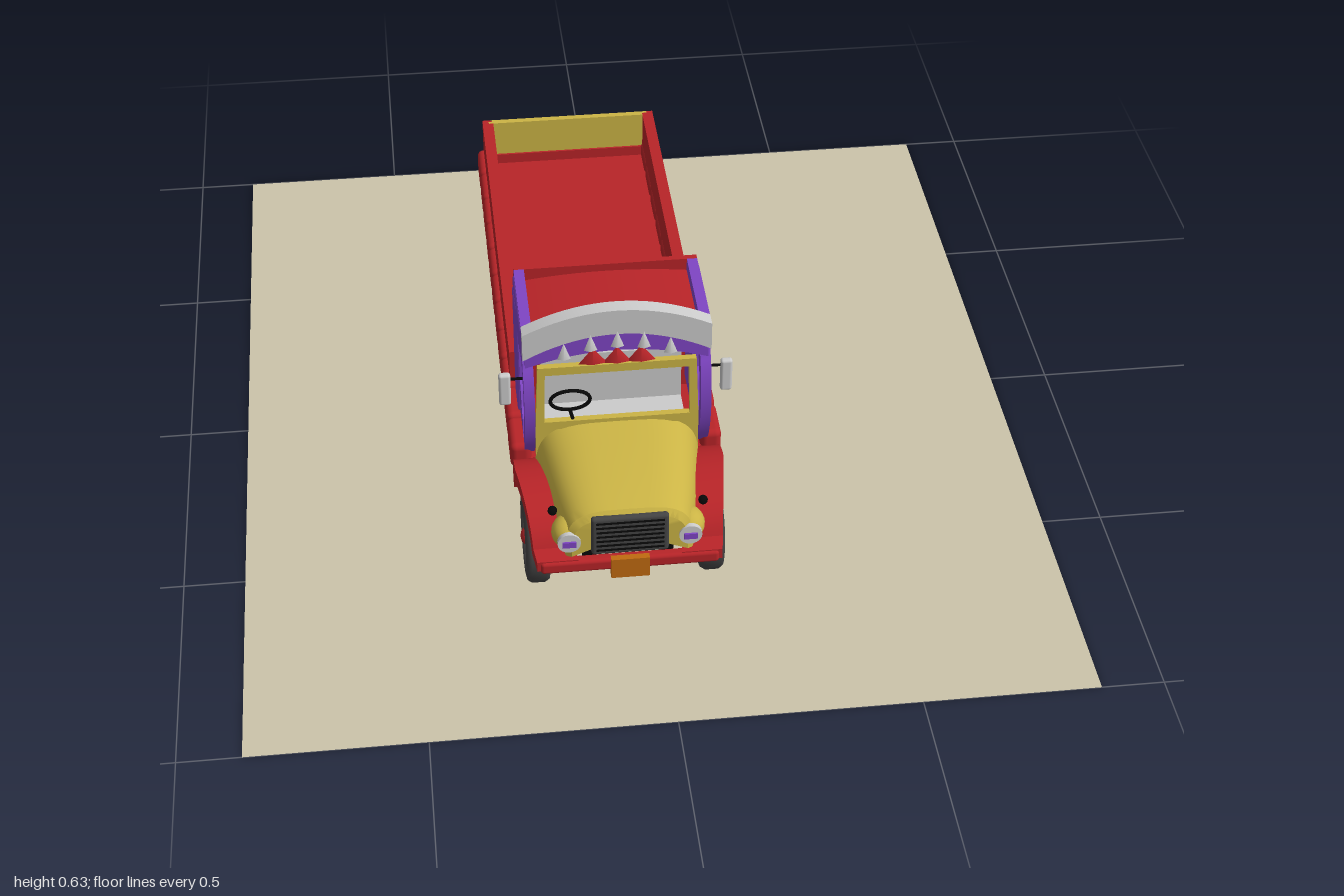
import * as THREE from 'three';
import { RoundedBoxGeometry } from 'three/addons/geometries/RoundedBoxGeometry.js';
import { toCreasedNormals } from 'three/addons/utils/BufferGeometryUtils.js';

const mat = (color) => new THREE.MeshStandardMaterial({ color, side: THREE.DoubleSide });
const red = mat(0xb82428), yellow = mat(0xcbb445), purple = mat(0x7f45c4), grey = mat(0xcccccc);
const tyreMat = mat(0x444444), black = mat(0x080808), orange = mat(0xc06a10), sand = mat(0xcbc4aa);

export function createModel() {
  const model = new THREE.Group();
  const truck = new THREE.Group();
  truck.name = 'truck';
  truck.position.x = -0.065;

  const add = (name, geo, material, x = 0, y = 0, z = 0, parent = truck) => {
    const m = new THREE.Mesh(geo, material);
    m.name = name;
    m.position.set(x, y, z);
    parent.add(m);
    return m;
  };
  // box given by its extents along each axis
  const box = (name, material, x0, x1, y0, y1, z0, z1) =>
    add(name, new THREE.BoxGeometry(x1 - x0, y1 - y0, z1 - z0), material, (x0 + x1) / 2, (y0 + y1) / 2, (z0 + z1) / 2);
  // outline drawn in (z, y), extruded along x about its middle
  const sideExtrude = (shape, width) => {
    const g = new THREE.ExtrudeGeometry(shape, { depth: width, bevelEnabled: false, curveSegments: 14 });
    return toCreasedNormals(g.translate(0, 0, -width / 2).rotateY(-Math.PI / 2), 0.6);
  };

  // ground plate
  const plate = add('groundPlate', new THREE.PlaneGeometry(1.74, 2), sand, 0, 0, 0, model);
  plate.rotation.x = -Math.PI / 2;

  // wheels
  const tyreGeo = new THREE.LatheGeometry(
    [[0.058, -0.02], [0.08, -0.026], [0.094, -0.023], [0.1, -0.014], [0.1, 0.014], [0.094, 0.023], [0.08, 0.026], [0.058, 0.02], [0.058, -0.02]]
      .map(([r, y]) => new THREE.Vector2(r, y)), 32).rotateZ(Math.PI / 2);
  const rimShape = new THREE.Shape().absarc(0, 0, 0.06, 0, Math.PI * 2);
  for (let i = 0; i < 6; i++) {
    const a = (i * Math.PI) / 3;
    rimShape.holes.push(new THREE.Path().absarc(0.04 * Math.cos(a), 0.04 * Math.sin(a), 0.009, 0, Math.PI * 2, true));
  }
  const rimGeo = sideExtrude(rimShape, 0.012);
  const wheel = (name, x, y, z, s, rear) => {
    const w = new THREE.Group();
    w.name = name;
    w.position.set(x, y, z);
    add('tyre', tyreGeo, tyreMat, 0, 0, 0, w);
    add('rim', rimGeo, red, s * 0.012, 0, 0, w);
    const hub = add('hub', new THREE.SphereGeometry(rear ? 0.055 : 0.022, 20, 12), red, s * 0.012, 0, 0, w);
    hub.scale.x = rear ? 0.35 : 0.9;
    truck.add(w);
  };
  for (const s of [-1, 1]) {
    wheel('frontWheel', s * 0.184, 0.115, 0.545, s, false);
    wheel('rearOuterWheel', s * 0.184, 0.105, -0.34, s, true);
    wheel('rearInnerWheel', s * 0.128, 0.105, -0.34, s, false);
  }

  // chassis and axles
  for (const s of [-1, 1]) box('chassisRail', black, s * 0.08 - 0.015, s * 0.08 + 0.015, 0.15, 0.2, -0.65, 0.66);
  for (const [z, y, r] of [[0.545, 0.11, 0.016], [-0.34, 0.105, 0.02]])
    add('axle', new THREE.CylinderGeometry(r, r, 0.37, 12).rotateZ(Math.PI / 2), black, 0, y, z);
  add('differential', new THREE.SphereGeometry(0.045, 20, 14), black, 0, 0.095, -0.34);
  add('driveShaft', new THREE.CylinderGeometry(0.01, 0.01, 0.8, 10).rotateX(Math.PI / 2), black, 0, 0.12, 0.05);
  box('sideGuard', black, -0.205, -0.19, 0.15, 0.21, -0.185, 0.31);
  box('sideGuard', black, 0.215, 0.23, 0.15, 0.21, -0.185, 0.31);
  add('fillerCap', new THREE.ConeGeometry(0.022, 0.02, 12).rotateZ(-Math.PI / 2), black, 0.237, 0.18, -0.06);

  // load bed
  box('bedFloor', red, -0.2, 0.2, 0.225, 0.24, -0.685, 0.225);
  box('bedRearBeam', red, -0.2, 0.2, 0.21, 0.265, -0.695, -0.675);
  box('tailgate', yellow, -0.195, 0.195, 0.262, 0.355, -0.695, -0.68);
  const segments = 11, segLength = 1.135 / segments;
  const segGeo = new RoundedBoxGeometry(0.045, 0.065, segLength, 3, 0.014);
  for (const s of [-1, 1]) {
    box('bedSide', red, s * 0.197 - 0.013, s * 0.197 + 0.013, 0.24, 0.355, -0.695, 0.222);
    for (let i = 0; i < segments; i++)
      add('bedRailPanel', segGeo, red, s * 0.203, 0.242, -0.695 + segLength * (i + 0.5));
    box('rearLamp', purple, s * 0.15 - 0.03, s * 0.15 + 0.03, 0.175, 0.21, -0.635, -0.585);
  }

  // cab shell
  box('cabBackWall', red, -0.195, 0.195, 0.24, 0.58, 0.215, 0.228);
  box('cabFloor', red, -0.185, 0.185, 0.215, 0.235, 0.22, 0.45);
  const roofShape = new THREE.Shape();
  roofShape.moveTo(-0.18, 0.55).quadraticCurveTo(0, 0.575, 0.18, 0.55);
  roofShape.lineTo(0.18, 0.54).quadraticCurveTo(0, 0.565, -0.18, 0.54);
  add('roof', new THREE.ExtrudeGeometry(roofShape, { depth: 0.21, bevelEnabled: false }), red, 0, 0, 0.225);
  const side = new THREE.Shape();
  side.moveTo(0.228, 0.265).lineTo(0.228, 0.58).lineTo(0.435, 0.58).lineTo(0.45, 0.5);
  side.bezierCurveTo(0.49, 0.45, 0.495, 0.33, 0.43, 0.25).lineTo(0.4, 0.255).lineTo(0.38, 0.265);
  const opening = new THREE.Path();
  opening.moveTo(0.332, 0.485).lineTo(0.332, 0.37).bezierCurveTo(0.38, 0.37, 0.35, 0.32, 0.4, 0.315);
  opening.lineTo(0.405, 0.28).lineTo(0.42, 0.275);
  opening.bezierCurveTo(0.465, 0.34, 0.465, 0.43, 0.425, 0.485);
  side.holes.push(opening);
  const sideGeo = sideExtrude(side, 0.022);
  const panelGeo = new RoundedBoxGeometry(0.016, 0.28, 0.085, 3, 0.007);
  const beamGeo = new RoundedBoxGeometry(0.02, 0.07, 0.195, 3, 0.008);
  for (const s of [-1, 1]) {
    add('cabSide', sideGeo, purple, s * 0.184, 0, 0);
    add('cabRearPanel', panelGeo, purple, s * 0.192, 0.41, 0.28);
    add('roofBeam', beamGeo, purple, s * 0.188, 0.54, 0.33);
  }

  // sun visor: arched bands above the windscreen
  const arch = (hw, topEnd, topMid, lowEnd, lowMid) => {
    const a = new THREE.Shape();
    a.moveTo(-hw, topEnd).quadraticCurveTo(0, 2 * topMid - topEnd, hw, topEnd);
    return a.lineTo(hw, lowEnd).quadraticCurveTo(0, 2 * lowMid - lowEnd, -hw, lowEnd);
  };
  const archGeo = (shape, depth) =>
    toCreasedNormals(new THREE.ExtrudeGeometry(shape, { depth, bevelEnabled: false, curveSegments: 18 }), 0.6);
  add('visor', archGeo(arch(0.195, 0.585, 0.635, 0.52, 0.575), 0.032), grey, 0, 0, 0.43);
  add('visorTrim', archGeo(arch(0.19, 0.54, 0.58, 0.495, 0.528), 0.02), purple, 0, 0, 0.435);
  for (let i = -2; i <= 2; i++) {
    const spike = add('visorSpike', new THREE.ConeGeometry(0.014, 0.04, 4), grey, i * 0.055, 0.563 - i * i * 0.006, 0.462);
    spike.scale.z = 0.4;
  }
  for (const x of [-0.05, 0, 0.05]) {
    const p = add('visorPennant', new THREE.ConeGeometry(0.03, 0.04, 4), red, x, 0.518, 0.456);
    p.scale.z = 0.2;
  }

  // windscreen frame
  const frame = new THREE.Shape();
  frame.moveTo(-0.172, 0.33).lineTo(0.172, 0.33).lineTo(0.165, 0.495).lineTo(-0.165, 0.495);
  const pane = new THREE.Path();
  pane.moveTo(-0.153, 0.35).lineTo(-0.15, 0.475).lineTo(0.15, 0.475).lineTo(0.153, 0.35);
  frame.holes.push(pane);
  add('windscreenFrame', new THREE.ExtrudeGeometry(frame, { depth: 0.014, bevelEnabled: false }), yellow, 0, 0, 0.445);

  // cab interior
  box('dashboard', yellow, -0.172, 0.172, 0.2, 0.335, 0.44, 0.455);
  box('seatBack', grey, -0.15, 0.15, 0.29, 0.43, 0.322, 0.338);
  box('seat', grey, -0.15, 0.15, 0.27, 0.3, 0.32, 0.395);
  const steering = add('steeringWheel', new THREE.TorusGeometry(0.042, 0.004, 8, 28), black, -0.095, 0.37, 0.415);
  steering.rotation.x = 0.4;
  const column = add('steeringColumn', new THREE.CylinderGeometry(0.004, 0.004, 0.08, 8), black, -0.095, 0.35, 0.435);
  column.rotation.x = 1.1;

  // mirrors
  for (const s of [-1, 1]) {
    add('mirror', new RoundedBoxGeometry(0.025, 0.08, 0.016, 3, 0.006), grey, s * 0.232, 0.425, 0.43);
    add('mirrorArm', new THREE.CylinderGeometry(0.003, 0.003, 0.05, 8).rotateZ(Math.PI / 2), black, s * 0.21, 0.45, 0.43);
  }

  // bonnet lofted through arched sections: z, half width, base y, top y
  const sections = [[0.45, 0.175, 0.19, 0.342], [0.52, 0.165, 0.19, 0.335], [0.61, 0.15, 0.185, 0.322],
    [0.67, 0.137, 0.185, 0.309], [0.69, 0.132, 0.185, 0.302], [0.7, 0.12, 0.19, 0.288], [0.7, 0, 0.24, 0.24]];
  const n = 24, pos = [], idx = [];
  sections.forEach(([z, hw, y0, y1], j) => {
    for (let i = 0; i <= n; i++) {
      const c = Math.cos((i / n) * Math.PI), q = Math.sin((i / n) * Math.PI);
      pos.push(hw * Math.sign(c) * Math.abs(c) ** 0.55, y0 + (y1 - y0) * Math.max(q, 0) ** 0.55, z);
      if (j && i) {
        const a = (j - 1) * (n + 1) + i - 1, b = a + n + 1;
        idx.push(a, b, a + 1, a + 1, b, b + 1);
      }
    }
  });
  const bonnet = new THREE.BufferGeometry();
  bonnet.setAttribute('position', new THREE.Float32BufferAttribute(pos, 3));
  bonnet.setIndex(idx);
  add('bonnet', toCreasedNormals(bonnet, 0.6), yellow);

  // grille, bumper and plate
  add('grille', new RoundedBoxGeometry(0.16, 0.098, 0.016, 3, 0.007), tyreMat, 0, 0.245, 0.7);
  for (let i = 0; i < 7; i++) box('grilleBar', black, -0.07, 0.07, 0.208 + i * 0.012, 0.212 + i * 0.012, 0.705, 0.71);
  add('bumper', new RoundedBoxGeometry(0.37, 0.03, 0.024, 3, 0.008), red, 0, 0.168, 0.698);
  box('numberPlate', orange, -0.04, 0.04, 0.135, 0.185, 0.7, 0.714);

  // front wings, lamps and steps
  const wing = new THREE.Shape();
  wing.moveTo(0.705, 0.16).lineTo(0.705, 0.185).lineTo(0.67, 0.19);
  wing.bezierCurveTo(0.64, 0.27, 0.5, 0.29, 0.435, 0.235).lineTo(0.42, 0.2).lineTo(0.44, 0.16);
  wing.bezierCurveTo(0.46, 0.255, 0.62, 0.26, 0.655, 0.165);
  const wingGeo = sideExtrude(wing, 0.085);
  // taper the wing inwards towards the bumper
  const taper = (s) => {
    const g = wingGeo.clone(), p = g.attributes.position;
    for (let i = 0; i < p.count; i++) p.setX(i, p.getX(i) + s * (0.178 - Math.max(0, p.getZ(i) - 0.5) * 0.14));
    g.computeVertexNormals();
    return toCreasedNormals(g, 0.6);
  };
  for (const s of [-1, 1]) {
    add('frontWing', taper(s), red);
    const pod = add('headlampPod', new THREE.SphereGeometry(0.034, 18, 12), yellow, s * 0.125, 0.23, 0.665);
    pod.scale.set(1, 1, 1.15);
    add('headlamp', new THREE.CylinderGeometry(0.024, 0.024, 0.01, 20).rotateX(Math.PI / 2), grey, s * 0.125, 0.23, 0.699);
    box('sideLamp', purple, s * 0.125 - 0.014, s * 0.125 + 0.014, 0.222, 0.236, 0.7, 0.708);
    add('indicator', new THREE.SphereGeometry(0.01, 12, 8), black, s * 0.155, 0.285, 0.66);
    const step = new THREE.Shape();
    step.moveTo(0.345, 0.15).lineTo(0.41, 0.155).lineTo(0.455, 0.215).lineTo(0.365, 0.215);
    add('cabStep', sideExtrude(step, 0.035), orange, s * 0.2);
  }

  model.add(truck);
  return model;
}
